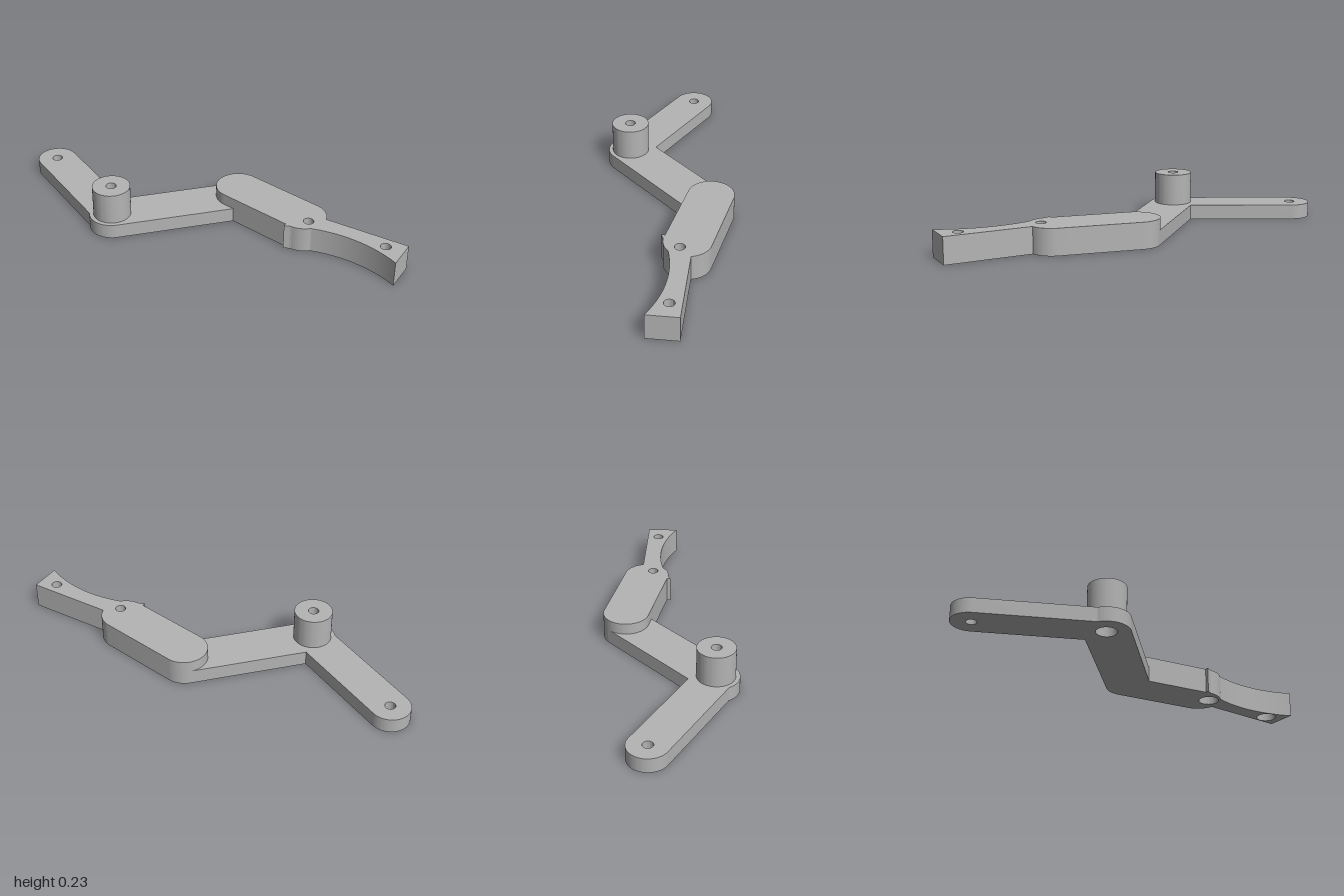
import * as THREE from 'three';
import { toCreasedNormals } from 'three/addons/utils/BufferGeometryUtils.js';

const HALF = Math.PI / 2;

export function createModel() {
  const group = new THREE.Group();
  const grey = new THREE.MeshStandardMaterial({ color: 0xb4b4b4 });

  // Extrudes a plan outline (x, z) from y0 to y1; holes are [x, z, radius]
  function plate(name, outline, holes, y0, y1) {
    const shape = outline();
    for (const [x, z, r] of holes) {
      shape.holes.push(new THREE.Path().absarc(x, z, r, 0, Math.PI * 2, true));
    }
    const geo = new THREE.ExtrudeGeometry(shape, { depth: y1 - y0, bevelEnabled: false, curveSegments: 32 });
    geo.rotateX(HALF).translate(0, y1, 0);
    const mesh = new THREE.Mesh(toCreasedNormals(geo, 0.5), grey);
    mesh.name = name;
    group.add(mesh);
  }

  const tip = [-0.906, -0.045], pivot = [-0.368, 0.226], joint = [0.08, -0.228], end = [0.473, -0.158];
  const R = 0.112, lowerHeight = 0.072, blockHeight = 0.128, boreDepth = 0.06;

  // Bent lever: narrow arm to the pivot, then the diagonal arm to the block
  const lever = () => {
    const a = 0.4667, b = -Math.PI / 4, k = R * Math.SQRT1_2;
    const s = new THREE.Shape();
    s.absarc(...tip, 0.097, a + HALF, a + 3 * HALF, false);
    s.lineTo(-0.401, 0.1);
    s.lineTo(joint[0] - k, joint[1] - k);
    s.lineTo(joint[0] + k, joint[1] + k);
    s.absarc(...pivot, R, b + HALF, 2.557, false);
    s.closePath();
    return s;
  };
  plate('lever', lever, [[...tip, 0.025], [...pivot, 0.05]], 0, lowerHeight);

  // Pivot boss with a narrow bore
  const boss = () => new THREE.Shape().absarc(...pivot, 0.0915, 0, Math.PI * 2, false);
  plate('pivotBoss', boss, [[...pivot, 0.025]], lowerHeight, 0.226);

  // Round-ended block joined to a tail with a concave front edge
  const block = () => {
    const t = Math.atan2(end[1] - joint[1], end[0] - joint[0]);
    const arc = [0.718, 0.519, 0.62];
    const s = new THREE.Shape();
    s.absarc(...joint, R, t + HALF, t + 3 * HALF, false);
    s.absarc(...end, R, t - HALF, -0.2435, false);
    s.lineTo(1, -0.185);
    s.lineTo(1, -0.033);
    s.absarc(...arc, -1.0985, -1.842, true);
    s.absarc(...end, R, 0.79, 1.656, false);
    s.absarc(...arc, -1.994, -2.045, true);
    s.lineTo(0.435, -0.051);
    s.closePath();
    return s;
  };
  // Wide counterbores below, narrow holes above
  const holes = (r) => [[0.516, -0.128, r], [0.911, -0.128, r]];
  plate('blockLower', block, holes(0.05), 0, boreDepth);
  plate('blockUpper', block, holes(0.025), boreDepth, blockHeight);

  return group;
}
